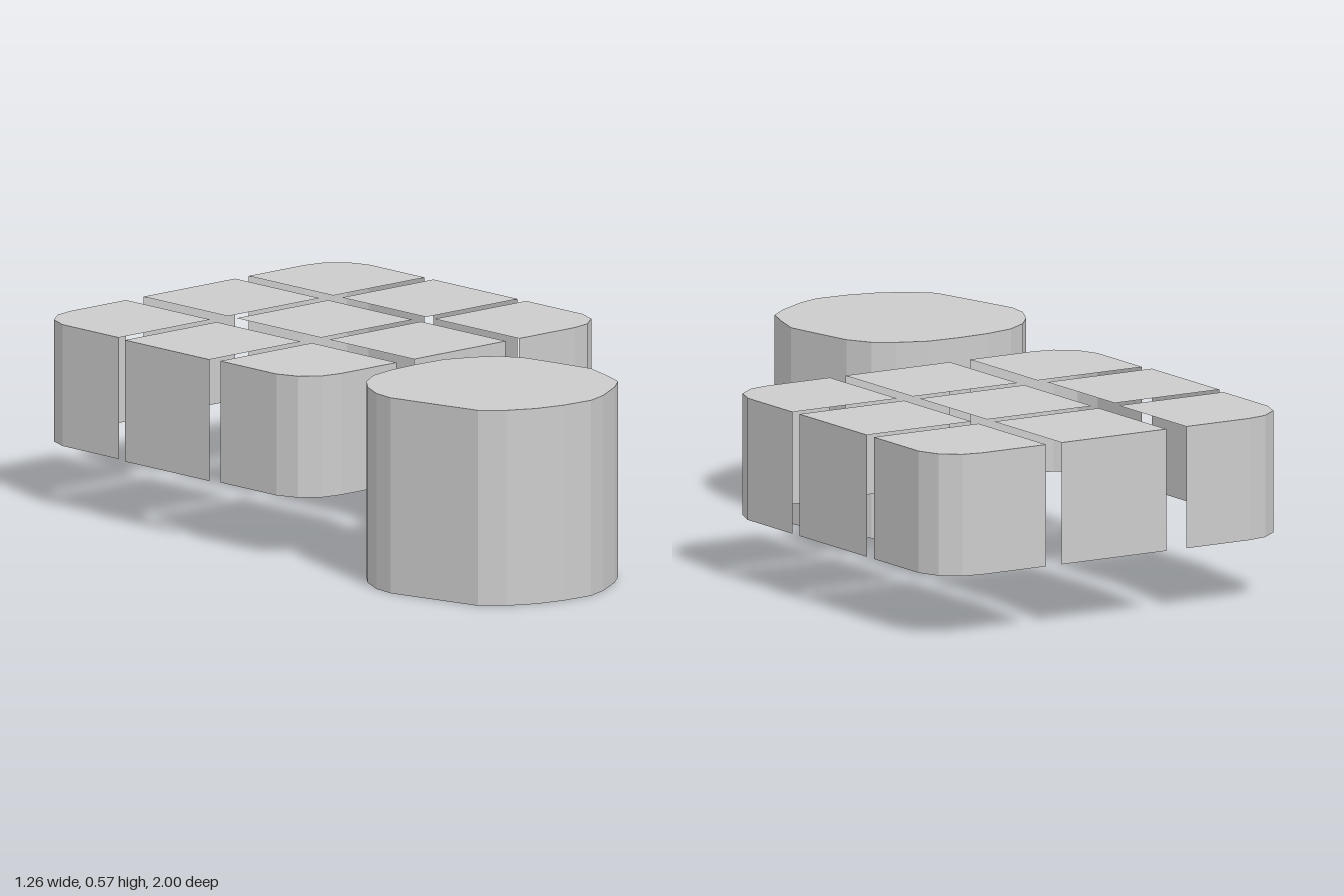
import * as THREE from 'three';

const material = new THREE.MeshStandardMaterial({ color: 0xcccccc, flatShading: true, side: THREE.DoubleSide });

// Flat lid over an outline of [x, z] points
function lid(outline, y) {
  const shape = new THREE.Shape(outline.map(([x, z]) => new THREE.Vector2(x, -z)));
  return new THREE.ShapeGeometry(shape).rotateX(-Math.PI / 2).translate(0, y, 0);
}

// Upright wall along a path of [x, z] points
function wall(path, y0, y1) {
  const positions = [];
  for (let i = 0; i < path.length - 1; i++) {
    const [ax, az] = path[i], [bx, bz] = path[i + 1];
    positions.push(ax, y0, az, bx, y0, bz, bx, y1, bz, ax, y0, az, bx, y1, bz, ax, y1, az);
  }
  const g = new THREE.BufferGeometry();
  g.setAttribute('position', new THREE.Float32BufferAttribute(positions, 3));
  g.computeVertexNormals();
  return g;
}

// A lid with a wall along part of its edge, open underneath
function shell(name, outline, path, y0, y1) {
  const group = new THREE.Group();
  group.name = name;
  const add = (part, geometry) => {
    const mesh = new THREE.Mesh(geometry, material);
    mesh.name = part;
    group.add(mesh);
  };
  add(name + 'Top', lid(outline, y1));
  if (path.length > 1) {
    // keep the wall running counter-clockwise so that it faces outward
    const area = THREE.ShapeUtils.area(outline.map(([x, z]) => new THREE.Vector2(x, -z)));
    add(name + 'Wall', wall(area < 0 ? [...path].reverse() : path, y0, y1));
  }
  return group;
}

// One block of the 3 x 3 slab; sx and sz tell which outer sides it has
function block(sx, sz, [x0, x1], [z0, z1]) {
  const ox = sx < 0 ? x0 : x1, ix = sx < 0 ? x1 : x0; // outer and inner x
  const oz = sz < 0 ? z0 : z1, iz = sz < 0 ? z1 : z0; // outer and inner z
  let path = [], rest = [];
  if (sx && sz) {
    const corner = [[0.14, 0], [0.08, 0.012], [0.025, 0.055], [0, 0.12]];
    path = [[ix, oz], ...corner.map(([dx, dz]) => [ox - sx * dx, oz - sz * dz]), [ox, iz]];
    rest = [[ix, iz]];
  } else if (sx) {
    path = [[ox, z0], [ox, z1]];
    rest = [[ix, z1], [ix, z0]];
  } else if (sz) {
    path = [[x0, oz], [x1, oz]];
    rest = [[x1, iz], [x0, iz]];
  } else {
    rest = [[x0, z0], [x0, z1], [x1, z1], [x1, z0]];
  }
  const name = ['back', 'middle', 'front'][sz + 1] + ['Right', 'Centre', 'Left'][sx + 1] + 'Block';
  return shell(name, [...path, ...rest], path, 0.187, 0.543);
}

export function createModel() {
  const model = new THREE.Group();
  model.name = 'blocksAndTower';

  // Slab cut into nine blocks
  const slab = new THREE.Group();
  slab.name = 'slab';
  const columns = [[-0.56, -0.203], [-0.135, 0.222], [0.275, 0.632]];
  const rows = [[-1, -0.643], [-0.606, -0.25], [-0.214, 0.143]];
  rows.forEach((row, j) => columns.forEach((column, i) => {
    // the middle row's right block sits slightly further out
    const shift = i === 0 && j === 1 ? -0.01 : 0;
    slab.add(block(i - 1, j - 1, column.map((x) => x + shift), row));
  }));
  model.add(slab);

  // Uneven round tower
  const outline = [
    [-0.63, 0.58], [-0.62, 0.51], [-0.58, 0.43], [-0.53, 0.37], [-0.46, 0.325], [-0.37, 0.305],
    [-0.27, 0.3], [-0.165, 0.305], [-0.08, 0.34], [-0.02, 0.38], [0.02, 0.45], [0.04, 0.56],
    [0.06, 0.68], [0.03, 0.78], [0, 0.86], [-0.06, 0.91], [-0.16, 0.97], [-0.23, 0.995],
    [-0.33, 0.99], [-0.42, 0.97], [-0.5, 0.93], [-0.56, 0.875], [-0.595, 0.73],
  ];
  model.add(shell('tower', outline, [...outline, outline[0]], 0, 0.573));
  return model;
}
